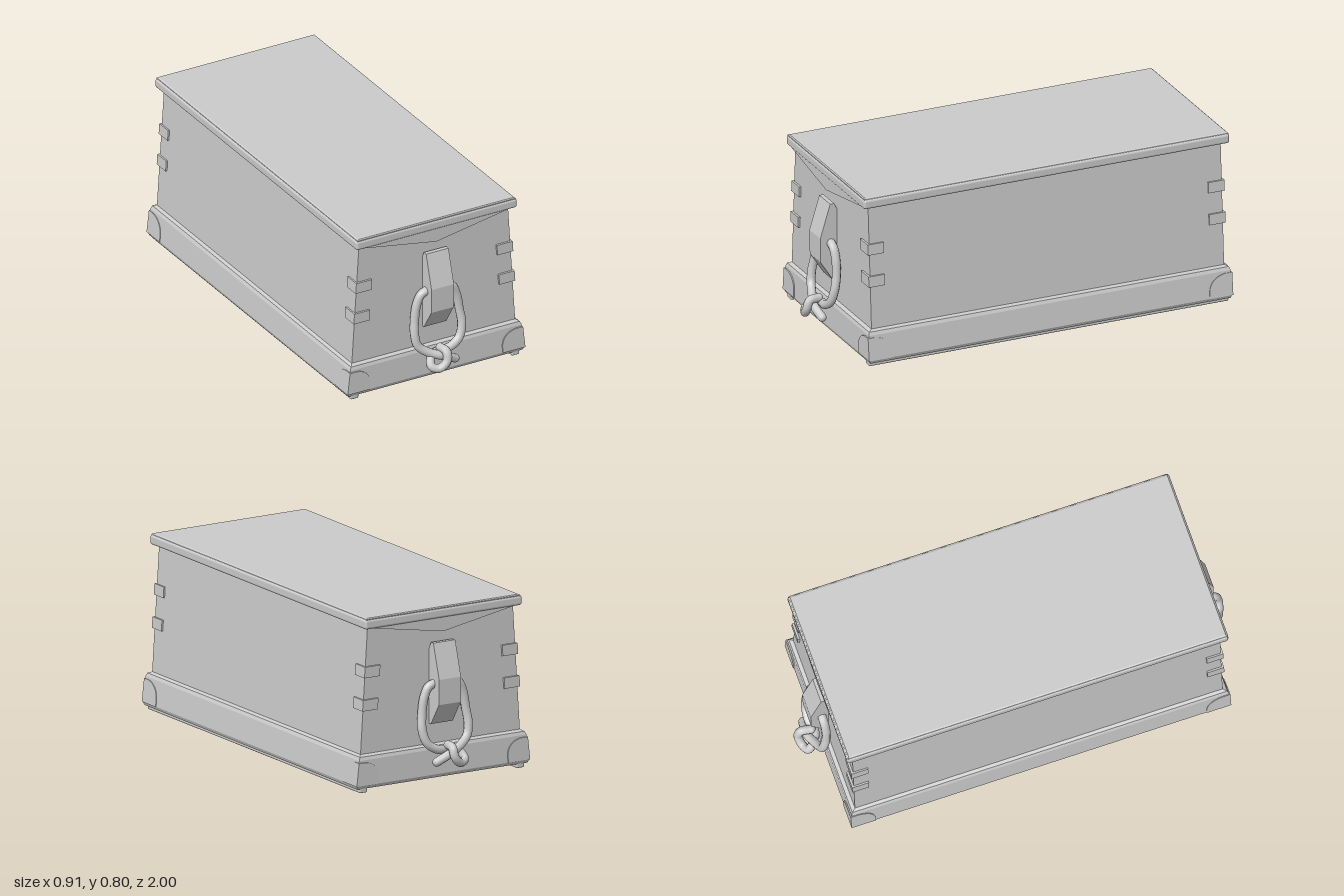
import * as THREE from 'three';
import { RoundedBoxGeometry } from 'three/addons/geometries/RoundedBoxGeometry.js';

const mat = new THREE.MeshStandardMaterial({ color: 0xcccccc });

function add(parent, name, geo, x = 0, y = 0, z = 0) {
  const m = new THREE.Mesh(geo, mat);
  m.name = name;
  m.position.set(x, y, z);
  parent.add(m);
  return m;
}

// Rectangular loft through rings of [y, half width, half length]
function loft(rings) {
  const pos = [];
  const corners = [[1, 1], [1, -1], [-1, -1], [-1, 1]];
  const pt = ([y, w, l], j) => [corners[j % 4][0] * w, y, corners[j % 4][1] * l];
  for (let i = 0; i < rings.length - 1; i++) {
    for (let j = 0; j < 4; j++) {
      const a = pt(rings[i], j), b = pt(rings[i], j + 1);
      const c = pt(rings[i + 1], j + 1), d = pt(rings[i + 1], j);
      pos.push(...a, ...b, ...c, ...a, ...c, ...d);
    }
  }
  const g = new THREE.BufferGeometry();
  g.setAttribute('position', new THREE.Float32BufferAttribute(pos, 3));
  g.computeVertexNormals();
  return g;
}

const extrude = (shape, depth) =>
  new THREE.ExtrudeGeometry(shape, { depth, bevelEnabled: false, curveSegments: 10 });
const polygon = pts => new THREE.Shape(pts.map(p => new THREE.Vector2(...p)));

// Lean a geometry sideways: x += k * y
const lean = (g, k) => g.applyMatrix4(
  new THREE.Matrix4().set(1, k, 0, 0, 0, 1, 0, 0, 0, 0, 1, 0, 0, 0, 0, 1));

// Quarter-round plate outline; u is the outer edge, s the side
function guardShape(u, s) {
  const h = 0.105, w = 0.113;
  const shape = new THREE.Shape();
  shape.moveTo(s * u, 0);
  shape.lineTo(s * u, h);
  shape.lineTo(s * (u - 0.035), h);
  shape.bezierCurveTo(s * (u - 0.08), h - 0.005, s * (u - w), 0.07, s * (u - w), 0.025);
  shape.lineTo(s * (u - w), 0);
  return shape;
}

export function createModel() {
  const chest = new THREE.Group();
  chest.name = 'seaChest';

  // Tapered body
  add(chest, 'body', loft([[0.16, 0.417, 0.858], [0.76, 0.379, 0.858]]));

  // Skirting base with a shallow recess underneath
  add(chest, 'base', loft([
    [0.035, 0, 0], [0.035, 0.395, 0.84], [0.02, 0.395, 0.84], [0.02, 0.444, 0.876],
    [0.035, 0.45, 0.882], [0.15, 0.437, 0.88], [0.165, 0.43, 0.875], [0.174, 0.414, 0.855],
  ]));

  // Lid with a slim inset top
  add(chest, 'lid', new RoundedBoxGeometry(0.82, 0.045, 1.78, 3, 0.012), 0, 0.768, 0);
  add(chest, 'lidTop', loft([
    [0.785, 0.405, 0.885], [0.792, 0.402, 0.885], [0.796, 0.395, 0.88], [0.796, 0, 0],
  ]));

  for (const sx of [1, -1]) {
    const side = sx > 0 ? 'left' : 'right';
    add(chest, side + 'Runner', new RoundedBoxGeometry(0.04, 0.04, 1.75, 2, 0.007), sx * 0.41, 0.02, 0);

    for (const sz of [1, -1]) {
      // L-shaped straps wrapped round the body corners
      [[0.545, 0.4], [0.395, 0.41]].forEach(([y, x]) => {
        const outline = [[x, 0.868], [x, 0.79], [x - 0.02, 0.79], [x - 0.02, 0.85],
          [x - 0.08, 0.85], [x - 0.08, 0.868]].map(([a, b]) => [sx * a, sz * b]);
        const strap = extrude(polygon(outline), 0.05);
        strap.rotateX(Math.PI / 2).translate(0, 0.025, 0);
        add(chest, 'cornerStrap', lean(strap, -sx * 0.064), 0, y, 0);
      });

      // Rounded guards on both faces of each base corner
      const endPlate = extrude(guardShape(0.453, sx), 0.01);
      add(chest, 'endCornerGuard', lean(endPlate, -sx * 0.113), 0, 0.035, sz > 0 ? 0.876 : -0.886);
      const sidePlate = extrude(guardShape(0.886, sz), 0.01);
      sidePlate.rotateY(-Math.PI / 2);
      add(chest, 'sideCornerGuard', lean(sidePlate, -sx * 0.113), sx > 0 ? 0.453 : -0.443, 0.035, 0);
    }
  }

  // End fittings: lid apron, cleat and knotted rope becket
  const cleatProfile = [[0.85, 0.265], [0.872, 0.265], [0.938, 0.365], [0.94, 0.48],
    [0.892, 0.638], [0.872, 0.638], [0.85, 0.59]];
  const quarterLoop = [[0.075, 0.445, 0.888], [0.1, 0.4, 0.886], [0.114, 0.32, 0.888], [0.12, 0.25, 0.9]];
  const ropePath = [
    [0.066, 0.106, 0.935], [0, 0.14, 0.945], [-0.06, 0.162, 0.925], [-0.108, 0.2, 0.908],
    ...quarterLoop.map(([x, y, z]) => [-x, y, z]).reverse(),
    [0, 0.455, 0.888],
    ...quarterLoop,
    [0.1, 0.19, 0.91], [0.05, 0.158, 0.915], [-0.01, 0.147, 0.905], [-0.055, 0.138, 0.93],
    [-0.066, 0.108, 0.955], [-0.034, 0.098, 0.972], [0, 0.13, 0.98], [0.004, 0.17, 0.966],
    [-0.002, 0.172, 0.92],
  ];
  for (const sz of [1, -1]) {
    const end = new THREE.Group();
    end.name = sz > 0 ? 'frontEnd' : 'backEnd';
    chest.add(end);

    const apron = extrude(polygon([[-0.395, 0.752], [0, 0.683], [0.395, 0.752]]), 0.035);
    add(end, 'lidApron', apron, 0, 0, sz > 0 ? 0.85 : -0.885);

    const cleat = extrude(polygon(cleatProfile.map(([z, y]) => [sz * z, y])), 0.114);
    cleat.rotateY(-Math.PI / 2);
    add(end, 'handleCleat', cleat, 0.057, 0, 0);

    const pts = ropePath.map(([x, y, z]) => new THREE.Vector3(x, y, sz * z));
    const curve = new THREE.CatmullRomCurve3(pts, false, 'centripetal');
    add(end, 'ropeHandle', new THREE.TubeGeometry(curve, 120, 0.02, 10));
    for (const p of [pts[0], pts[pts.length - 1]]) {
      const tip = add(end, 'ropeTip', new THREE.SphereGeometry(0.02, 12, 8), p.x, p.y, p.z);
      tip.scale.setScalar(0.99);
    }
  }
  return chest;
}
